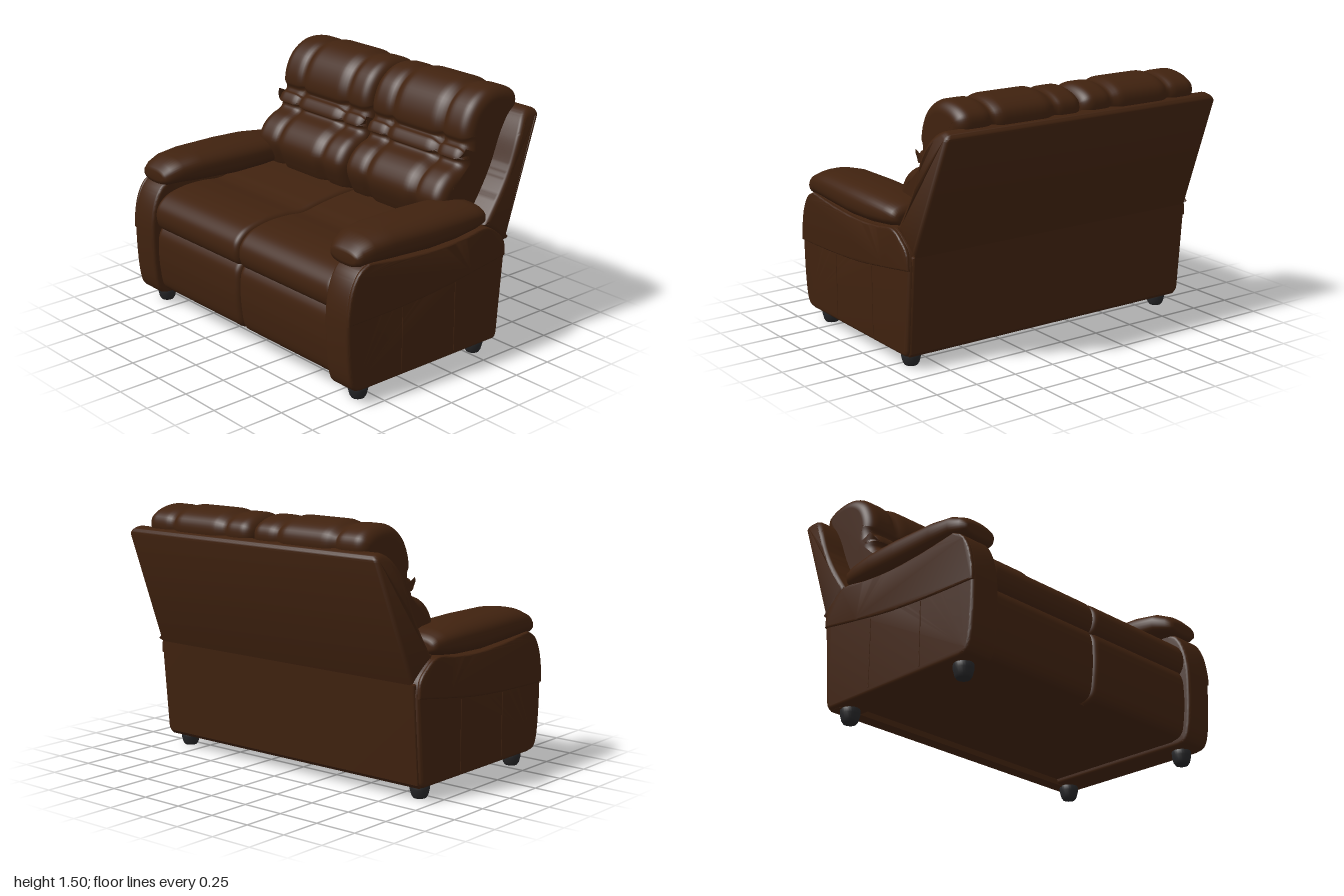
import * as THREE from 'three';
import { toCreasedNormals } from 'three/addons/utils/BufferGeometryUtils.js';

const leather = new THREE.MeshStandardMaterial({ color: 0x40220f });
leather.name = 'brown leather';
const plastic = new THREE.MeshStandardMaterial({ color: 0x262628 });
plastic.name = 'dark feet';

const v2 = (pts) => pts.map(([x, y]) => new THREE.Vector2(x, y));
const lerp = THREE.MathUtils.lerp;

function add(group, name, geometry, material = leather) {
  const mesh = new THREE.Mesh(geometry, material);
  mesh.name = name;
  group.add(mesh);
  return mesh;
}

// Skin over a row of closed rings, with fan caps, always facing outwards
function loft(rings) {
  const n = rings[0].length, pos = [], idx = [];
  rings.forEach((r) => r.forEach((p) => pos.push(p.x, p.y, p.z)));
  for (let i = 0; i < rings.length - 1; i++) {
    for (let j = 0; j < n; j++) {
      const a = i * n + j, b = i * n + (j + 1) % n;
      idx.push(a, b, a + n, b, b + n, a + n);
    }
  }
  [0, rings.length - 1].forEach((i, end) => {
    const c = new THREE.Vector3();
    rings[i].forEach((p) => c.addScaledVector(p, 1 / n));
    const ci = pos.length / 3;
    pos.push(c.x, c.y, c.z);
    for (let j = 0; j < n; j++) {
      const a = i * n + j, b = i * n + (j + 1) % n;
      end ? idx.push(ci, a, b) : idx.push(ci, b, a);
    }
  });
  const at = (i) => new THREE.Vector3().fromArray(pos, i * 3);
  let volume = 0;
  for (let i = 0; i < idx.length; i += 3) volume += at(idx[i]).dot(at(idx[i + 1]).cross(at(idx[i + 2])));
  if (volume < 0) idx.reverse();
  const g = new THREE.BufferGeometry();
  g.setAttribute('position', new THREE.Float32BufferAttribute(pos, 3));
  g.setIndex(idx);
  g.computeVertexNormals();
  return g;
}

// Stuffed cushion: a clockwise side profile swept along z, with rounded ends and grooves
function cushion(profile, z0, z1, round, grooves = [], depth = 0) {
  const curve = new THREE.CatmullRomCurve3(profile.map(([x, y]) => new THREE.Vector3(x, y, 0)), true, 'centripetal');
  const N = 96, M = 56, rings = [], width = Math.abs(z1 - z0);
  const pts = curve.getPoints(N).slice(0, N);
  for (let i = 0; i <= M; i++) {
    const t = (1 - Math.cos((Math.PI * i) / M)) / 2;
    const d = t * width, e = Math.min(d, width - d);
    let inset = e < round ? round - Math.sqrt(round ** 2 - (round - e) ** 2) : 0;
    grooves.forEach((g) => { inset += depth * Math.exp(-(((d - g) / 0.03) ** 2)); });
    if (grooves.length && (d < grooves[0] || d > grooves[1])) inset += depth * 0.5;
    rings.push(pts.map((p, j) => {
      const a = pts[(j + N - 1) % N], b = pts[(j + 1) % N];
      const l = Math.hypot(b.x - a.x, b.y - a.y) || 1;
      return new THREE.Vector3(p.x + ((b.y - a.y) / l) * inset, p.y - ((b.x - a.x) / l) * inset, lerp(z0, z1, t));
    }));
  }
  return loft(rings);
}

// Side profile extruded between two z values with softened edges
function slab(shape, z0, z1, bevel) {
  const g = new THREE.ExtrudeGeometry(shape, {
    depth: z1 - z0 - 2 * bevel, bevelThickness: bevel, bevelSize: bevel, bevelOffset: -bevel,
    bevelSegments: 4, curveSegments: 10,
  });
  g.translate(0, 0, z0 + bevel);
  return g;
}

function armShape() {
  const s = new THREE.Shape();
  s.moveTo(-0.62, 0.08);
  s.lineTo(0.36, 0.08);
  s.quadraticCurveTo(0.39, 0.08, 0.395, 0.12);
  s.lineTo(0.435, 0.6);
  s.splineThru(v2([[0.42, 0.66], [0.37, 0.72], [0.27, 0.775], [0.1, 0.755], [-0.1, 0.745], [-0.35, 0.76], [-0.58, 0.79]]));
  s.splineThru(v2([[-0.65, 0.75], [-0.7, 0.66], [-0.725, 0.53], [-0.725, 0.35], [-0.71, 0.18], [-0.68, 0.1], [-0.62, 0.08]]));
  return s;
}

function bandShape() {
  const s = new THREE.Shape();
  s.moveTo(-0.725, 0.475);
  s.splineThru(v2([[-0.45, 0.48], [-0.1, 0.5], [0.2, 0.54], [0.43, 0.575]]));
  s.splineThru(v2([[0.42, 0.66], [0.37, 0.72], [0.27, 0.775], [0.1, 0.755], [-0.1, 0.745], [-0.35, 0.76], [-0.58, 0.79]]));
  s.splineThru(v2([[-0.65, 0.75], [-0.7, 0.66], [-0.724, 0.54], [-0.725, 0.475]]));
  return s;
}

// Padded arm top: stations of x, bottom, top, inner z, outer z
function armPad(side) {
  const stations = [
    [-0.655, 0.79, 0.84, 0.76, 0.93], [-0.65, 0.77, 0.86, 0.735, 0.95], [-0.62, 0.76, 0.89, 0.71, 0.965],
    [-0.55, 0.765, 0.92, 0.68, 0.98], [-0.42, 0.755, 0.936, 0.66, 0.99], [-0.15, 0.74, 0.937, 0.65, 1],
    [0.05, 0.745, 0.93, 0.65, 0.997], [0.2, 0.76, 0.912, 0.655, 0.98], [0.265, 0.775, 0.895, 0.665, 0.965],
    [0.285, 0.785, 0.87, 0.69, 0.945], [0.288, 0.8, 0.85, 0.73, 0.92],
  ];
  const power = (v) => Math.sign(v) * Math.abs(v) ** 0.8;
  return loft(stations.map(([x, y0, y1, z0, z1]) => Array.from({ length: 40 }, (_, j) => {
    const a = (j / 40) * Math.PI * 2;
    return new THREE.Vector3(x, (y0 + y1) / 2 + power(Math.sin(a)) * (y1 - y0) / 2,
      side * ((z0 + z1) / 2 + power(Math.cos(a)) * (z1 - z0) / 2));
  })));
}

export function createModel() {
  const sofa = new THREE.Group();
  sofa.name = 'reclinerSofa';

  // Hidden frame between the arms
  const base = add(sofa, 'baseFrame', new THREE.BoxGeometry(0.94, 0.5, 1.6));
  base.position.set(-0.12, 0.36, 0);

  // Lower back panel
  const lower = new THREE.Shape(v2([[0.3, 0.075], [0.38, 0.075], [0.398, 0.095], [0.448, 0.65], [0.34, 0.66]]));
  add(sofa, 'lowerBackPanel', toCreasedNormals(slab(lower, -0.94, 0.94, 0.012), 0.6));

  // Reclined back shell, narrowing at its top corners
  const shell = new THREE.Shape();
  shell.moveTo(0.455, 0.65);
  shell.lineTo(0.72, 1.315);
  shell.splineThru(v2([[0.72, 1.335], [0.7, 1.355], [0.65, 1.36], [0.59, 1.32], [0.53, 1.22], [0.47, 1.07], [0.4, 0.94], [0.29, 0.775]]));
  shell.splineThru(v2([[0.36, 0.73], [0.41, 0.69], [0.455, 0.65]]));
  const shellGeo = slab(shell, -0.945, 0.945, 0.025);
  const p = shellGeo.attributes.position;
  for (let i = 0; i < p.count; i++) {
    const k = Math.max(0, (p.getY(i) - 1.1) / 0.26);
    p.setZ(i, p.getZ(i) * (1 - 0.06 * k ** 3));
  }
  add(sofa, 'backShell', toCreasedNormals(shellGeo, 0.7));

  const backProfile = [
    [0.16, 0.72], [0.09, 0.82], [0.062, 0.92], [0.1, 1.005], [0.165, 1.06], [0.235, 1.09], [0.245, 1.105],
    [0.222, 1.12], [0.25, 1.18], [0.28, 1.195], [0.266, 1.23], [0.275, 1.31], [0.325, 1.41], [0.41, 1.475],
    [0.5, 1.496], [0.62, 1.475], [0.685, 1.43], [0.695, 1.36], [0.62, 1.22], [0.5, 0.95], [0.4, 0.72],
  ];
  const seatProfile = [
    [-0.66, 0.5], [-0.698, 0.56], [-0.69, 0.64], [-0.63, 0.7], [-0.5, 0.735], [-0.35, 0.738], [-0.24, 0.728],
    [-0.1, 0.75], [0.1, 0.77], [0.28, 0.76], [0.3, 0.6], [0.2, 0.5], [-0.3, 0.48],
  ];
  const footrestProfile = [
    [-0.62, 0.11], [-0.665, 0.14], [-0.69, 0.25], [-0.697, 0.38], [-0.685, 0.48], [-0.64, 0.53], [-0.5, 0.5], [-0.5, 0.13],
  ];
  const footProfile = v2([[0, 0], [0.036, 0], [0.046, 0.015], [0.055, 0.05], [0.055, 0.075], [0.045, 0.1], [0, 0.11]]);

  for (const s of [1, -1]) {
    const name = s > 0 ? 'Front' : 'Rear';

    // Seat, footrest and lobed back cushion
    add(sofa, 'backCushion' + name, cushion(backProfile, 0.002 * s, 0.8 * s, 0.07, [0.2, 0.585], 0.018));
    add(sofa, 'seatCushion' + name, cushion(seatProfile, 0.002 * s, 0.79 * s, 0.035));
    add(sofa, 'footrest' + name, cushion(footrestProfile, 0.002 * s, 0.785 * s, 0.035));

    // Arm body, raised outer band and padded top
    const arm = new THREE.Group();
    arm.name = 'arm' + name;
    sofa.add(arm);
    const [a, b] = s > 0 ? [0.775, 0.96] : [-0.96, -0.775];
    add(arm, 'armBody', toCreasedNormals(slab(armShape(), a, b, 0.02), 0.7));
    const [c, d] = s > 0 ? [0.94, 0.968] : [-0.968, -0.94];
    add(arm, 'armBand', toCreasedNormals(slab(bandShape(), c, d, 0.01), 0.7));
    add(arm, 'armPad', armPad(s));

    // Vertical seams on the outer side
    for (const [x, top] of [[-0.34, 0.48], [0.05, 0.51]]) {
      const seam = add(arm, 'sideSeam', new THREE.CylinderGeometry(0.003, 0.003, top - 0.11, 6));
      seam.position.set(x, (top + 0.11) / 2, 0.96 * s);
    }

    // Feet
    for (const x of [-0.573, 0.295]) {
      const foot = add(sofa, 'foot', new THREE.LatheGeometry(footProfile, 24), plastic);
      foot.position.set(x, 0, 0.87 * s);
    }
  }
  return sofa;
}
